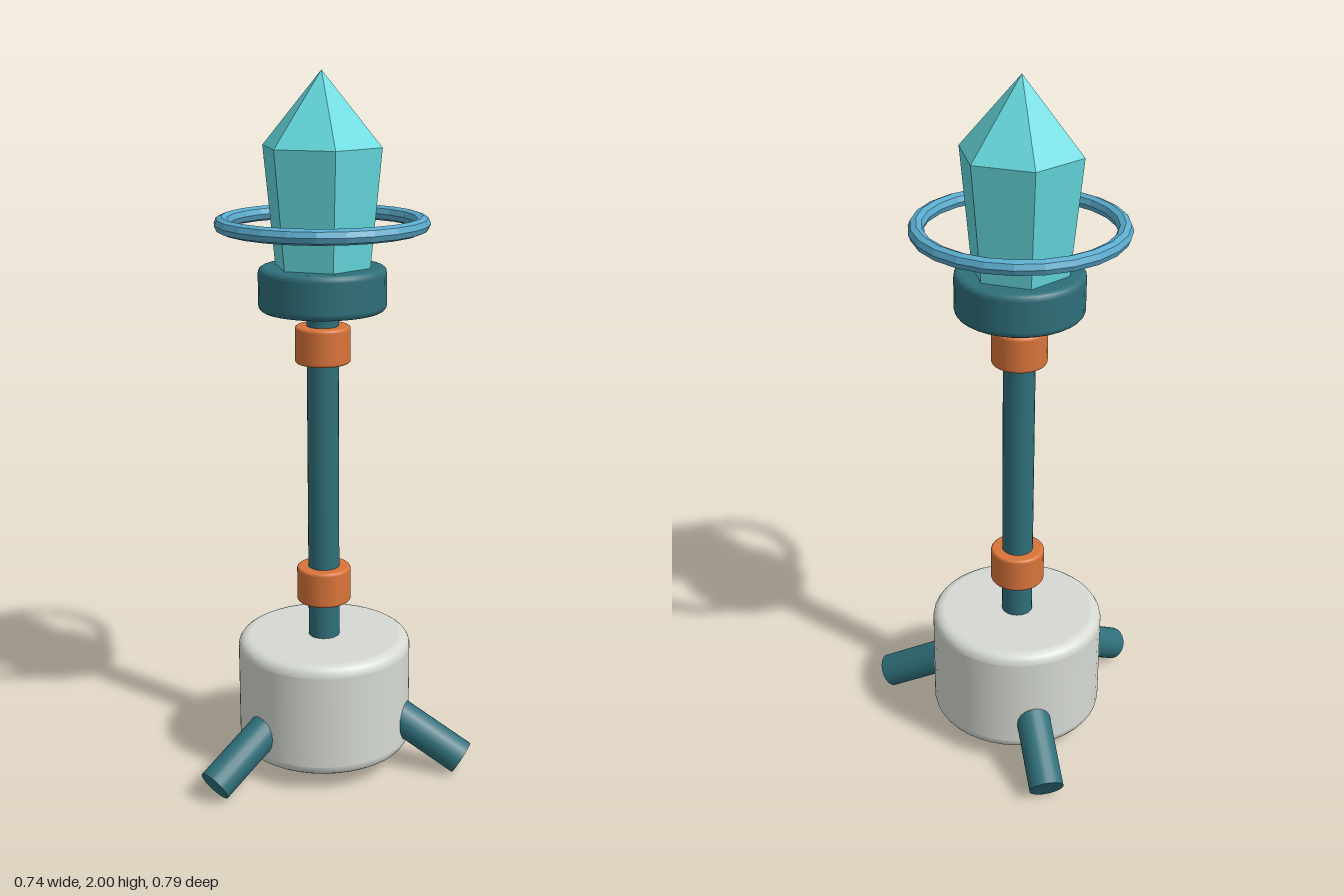
import * as THREE from 'three';

const mat = (name, color, flatShading = false) => {
  const m = new THREE.MeshStandardMaterial({ color, flatShading });
  m.name = name;
  return m;
};

// Solid disc with rounded top and bottom rims, from y0 to y1
function roundedDisc(radius, y0, y1, bevel, segments) {
  const pts = [new THREE.Vector2(0, y0), new THREE.Vector2(radius - bevel - 0.002, y0)];
  const steps = 4;
  const corner = (cy, start) => {
    for (let i = 0; i <= steps; i++) {
      const a = start + (i / steps) * Math.PI / 2;
      pts.push(new THREE.Vector2(radius - bevel + Math.cos(a) * bevel, cy + Math.sin(a) * bevel));
    }
  };
  corner(y0 + bevel, -Math.PI / 2);
  // extra loops keep the wall shading straight
  pts.push(new THREE.Vector2(radius, y0 + bevel + 0.002), new THREE.Vector2(radius, y1 - bevel - 0.002));
  corner(y1 - bevel, 0);
  pts.push(new THREE.Vector2(radius - bevel - 0.002, y1), new THREE.Vector2(0, y1));
  return new THREE.LatheGeometry(pts, segments);
}

export function createModel() {
  const teal = mat('dark teal', 0x2f6f7a);
  const stone = mat('pale grey', 0xd6dad3);
  const copper = mat('copper orange', 0xd9743a);
  const ringBlue = mat('ring blue', 0x5aabcd, true);
  const crystalCyan = mat('crystal cyan', 0x64d8dd, true);

  const model = new THREE.Group();
  model.name = 'crystalBeacon';
  const body = new THREE.Group();
  body.name = 'beacon';
  body.position.x = -0.075;
  model.add(body);

  const add = (name, geometry, material, y = 0) => {
    const mesh = new THREE.Mesh(geometry, material);
    mesh.name = name;
    mesh.position.y = y;
    body.add(mesh);
    return mesh;
  };

  // Base drum, pole, collars and crystal holder
  add('base', roundedDisc(0.252, 0.05, 0.387, 0.03, 40), stone);
  add('pole', new THREE.CylinderGeometry(0.045, 0.045, 1.02, 24), teal, 0.87);
  add('lowerCollar', roundedDisc(0.078, 0.495, 0.6, 0.008, 28), copper);
  add('upperCollar', roundedDisc(0.078, 1.205, 1.31, 0.008, 28), copper);
  add('holder', roundedDisc(0.178, 1.354, 1.476, 0.016, 32), teal);

  // Three legs sloping 30 degrees down and out
  const slope = Math.PI / 6, length = 0.3;
  for (let i = 0; i < 3; i++) {
    const pivot = new THREE.Group();
    pivot.name = 'leg' + (i + 1);
    pivot.rotation.y = i * Math.PI * 2 / 3;
    const leg = new THREE.Mesh(new THREE.CylinderGeometry(0.05, 0.05, length, 20), teal);
    leg.name = 'legTube';
    leg.rotation.z = Math.PI / 2 - slope;
    leg.position.set(
      0.42 - Math.cos(slope) * length / 2,
      0.0435 + Math.sin(slope) * length / 2,
      0
    );
    pivot.add(leg);
    body.add(pivot);
  }

  // Six-sided crystal: flared shaft and pointed tip
  add('crystalShaft', new THREE.CylinderGeometry(0.17, 0.134, 0.36, 6, 1, true, Math.PI / 2), crystalCyan, 1.62);
  add('crystalTip', new THREE.ConeGeometry(0.17, 0.2, 6, 1, true, Math.PI / 2), crystalCyan, 1.9);

  // Floating ring
  const ring = new THREE.TorusGeometry(0.275, 0.0215, 8, 24);
  ring.rotateX(Math.PI / 2);
  add('ring', ring, ringBlue, 1.594);

  return model;
}
